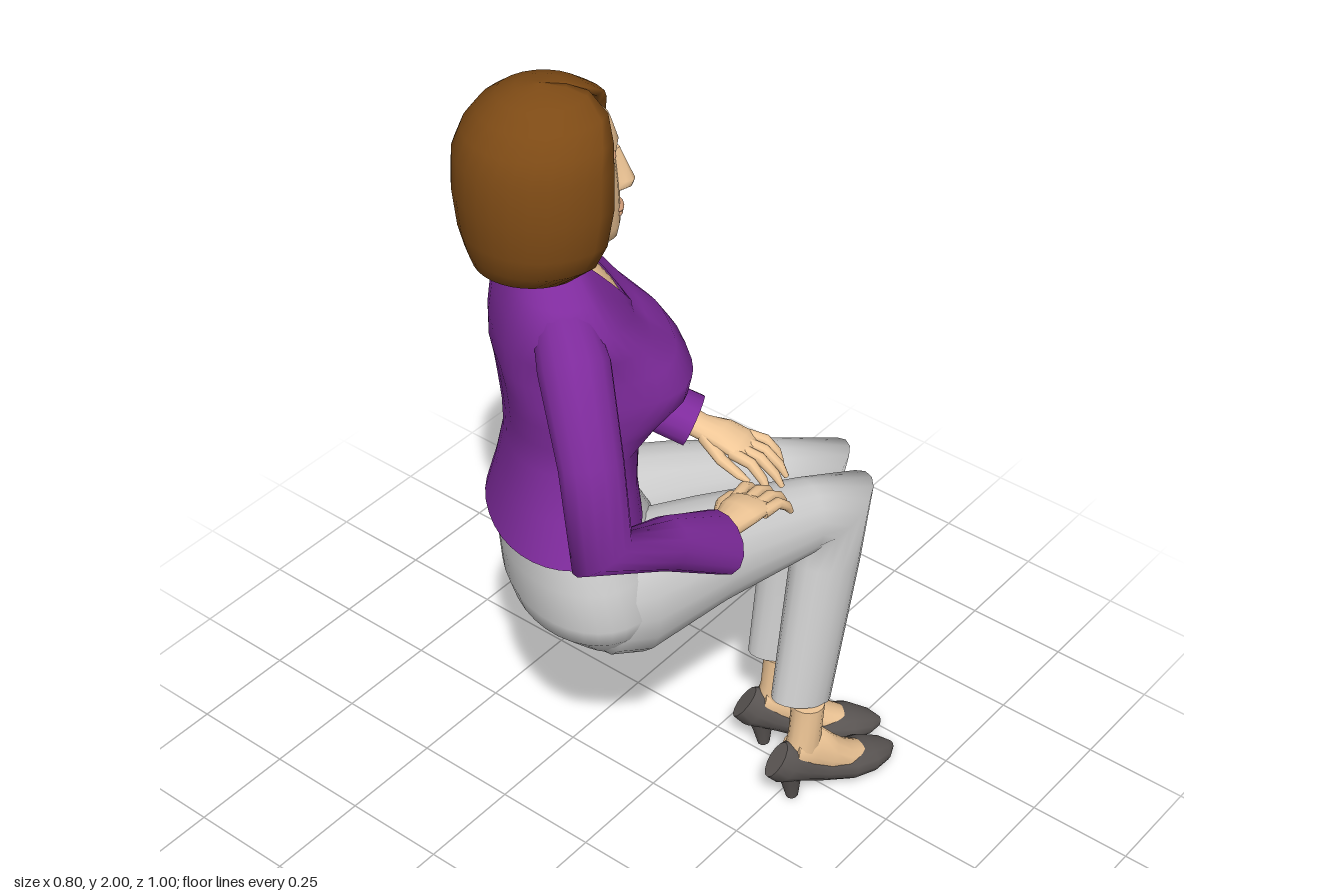
import * as THREE from 'three';

const V = (x, y, z) => new THREE.Vector3(x, y, z);
const mat = (color) => new THREE.MeshStandardMaterial({ color, side: THREE.DoubleSide });
const skin = mat(0xf0c797), purple = mat(0x7f2b9d), brown = mat(0x7d4a15);
const grey = mat(0xcccccc), dark = mat(0x5a5553), lip = mat(0xd09c78), eyeMat = mat(0x9a9aa0);
const TAU = Math.PI * 2;

// Skin a list of equal-length closed loops, with optional end caps
function loft(name, loops, material, cap = true) {
  const n = loops[0].length, pts = loops.flat(), idx = [];
  for (let i = 0; i < loops.length - 1; i++) for (let j = 0; j < n; j++) {
    const a = i * n + j, b = i * n + (j + 1) % n;
    idx.push(a, b, b + n, a, b + n, a + n);
  }
  const sides = idx.length;
  if (cap) [loops[0], loops[loops.length - 1]].forEach((loop, e) => {
    const base = pts.length, flat = flatten(loop);
    pts.push(...loop.map((p) => p.clone()));
    const ccw = THREE.ShapeUtils.area(flat) > 0;
    THREE.ShapeUtils.triangulateShape(flat, []).forEach(([a, b, c]) =>
      idx.push(...((e === 0) === ccw ? [base + a, base + c, base + b] : [base + a, base + b, base + c])));
  });
  // Wind faces outward
  let vol = 0;
  const c = V(0, 0, 0), w = V(0, 0, 0);
  pts.forEach((p) => c.addScaledVector(p, 1 / pts.length));
  for (let i = 0; i < sides; i += 3) {
    const [p, q, r] = [0, 1, 2].map((k) => pts[idx[i + k]].clone().sub(c));
    vol += p.dot(w.crossVectors(q, r));
  }
  if (vol < 0) for (let i = 0; i < idx.length; i += 3) [idx[i], idx[i + 1]] = [idx[i + 1], idx[i]];
  const g = new THREE.BufferGeometry().setFromPoints(pts);
  g.setIndex(idx);
  g.computeVertexNormals();
  const m = new THREE.Mesh(g, material);
  m.name = name;
  return m;
}

// Project a planar loop to 2D for capping
function flatten(loop) {
  const nrm = V(0, 0, 0), t = V(0, 0, 0);
  loop.forEach((p, i) => nrm.add(t.crossVectors(p, loop[(i + 1) % loop.length])));
  nrm.normalize();
  const u = loop[Math.floor(loop.length / 3)].clone().sub(loop[0]).normalize();
  const v = V(0, 0, 0).crossVectors(nrm, u);
  return loop.map((p) => new THREE.Vector2(p.dot(u), p.dot(v)));
}

// Sweep ellipses along a path; rows are [x, y, z, radius along side, other radius]
function limb(name, rows, side, material, n = 14) {
  const P = rows.map((r) => V(r[0], r[1], r[2]));
  let s = side.clone();
  const loops = rows.map((r, i) => {
    const t = V(0, 0, 0);
    if (i > 0) t.add(P[i].clone().sub(P[i - 1]).normalize());
    if (i < P.length - 1) t.add(P[i + 1].clone().sub(P[i]).normalize());
    t.normalize();
    s = s.clone().addScaledVector(t, -s.dot(t)).normalize();
    const d = V(0, 0, 0).crossVectors(t, s);
    return Array.from({ length: n }, (_, k) => P[i].clone()
      .addScaledVector(s, r[3] * Math.cos(k / n * TAU)).addScaledVector(d, r[4] * Math.sin(k / n * TAU)));
  });
  return loft(name, loops, material);
}

// Horizontal rings [y, halfWidth, back, front, squareness power, drop, push]; drop and push shape a V at the front
function body(name, rows, material, cap = true, n = 36) {
  return loft(name, rows.map(([y, a, back, front, square = 1, drop = 0, push = 0]) =>
    Array.from({ length: n }, (_, k) => {
      const f = k / n * TAU, w = Math.max(0, 1 - Math.min(f, TAU - f) / 0.8);
      const pw = (v) => Math.sign(v) * Math.abs(v) ** square;
      return V(a * pw(Math.sin(f)), y - drop * w, (back + front) / 2 + (front - back) / 2 * pw(Math.cos(f)) + push * w);
    })), material, cap);
}

function hand(name, wrist, target, t) {
  const g = new THREE.Group();
  g.name = name;
  g.position.copy(wrist);
  g.lookAt(target);
  const X = V(1, 0, 0);
  g.add(limb('palm', [[0, 0, -0.05, 0.036, 0.03], [0, 0, 0.02, 0.034, 0.025], [0, 0.01, 0.07, 0.047, 0.024],
    [0, 0.01, 0.115, 0.05, 0.019], [0, 0.004, 0.14, 0.044, 0.012]], X, skin));
  for (let i = 0; i < 4; i++) {
    const x = (i - 1.5) * 0.025, l = [0.105, 0.125, 0.12, 0.09][t > 0 ? 3 - i : i];
    g.add(limb('finger', [[x, 0.006, 0.11, 0.014, 0.014], [x * 1.2, 0.012, 0.12 + l * 0.4, 0.013, 0.013],
      [x * 1.35, -0.008, 0.12 + l * 0.75, 0.011, 0.011], [x * 1.4, -0.03, 0.12 + l * 0.95, 0.006, 0.006]], X, skin, 8));
  }
  g.add(limb('thumb', [[t * 0.025, 0, 0.04, 0.018, 0.016], [t * 0.06, -0.005, 0.1, 0.014, 0.013],
    [t * 0.068, -0.012, 0.15, 0.011, 0.01], [t * 0.066, -0.018, 0.175, 0.005, 0.005]], X, skin, 8));
  return g;
}

function foot(name, heel, toe) {
  const g = new THREE.Group();
  g.name = name;
  g.position.copy(heel);
  g.lookAt(toe);
  const X = V(1, 0, 0);
  // Rows are distance from heel, half width, bottom, top
  const along = (part, rows, m) => limb(part, rows.map(([z, w, lo, hi]) => [0, (lo + hi) / 2, z, w, (hi - lo) / 2]), X, m);
  g.add(along('shoe', [[0, 0.022, 0.1, 0.195], [0.025, 0.041, 0.075, 0.185], [0.07, 0.045, 0.06, 0.145], [0.13, 0.046, 0.03, 0.105],
    [0.2, 0.058, 0.004, 0.085], [0.26, 0.058, 0, 0.072], [0.31, 0.038, 0, 0.05], [0.338, 0.012, 0.006, 0.03]], dark));
  g.add(along('instep', [[0.04, 0.034, 0.1, 0.2], [0.09, 0.04, 0.07, 0.205], [0.14, 0.042, 0.05, 0.15],
    [0.19, 0.045, 0.03, 0.106], [0.24, 0.035, 0.03, 0.078]], skin));
  g.add(limb('shoeHeel', [[0, 0.12, 0.037, 0.036, 0.038], [0, 0.06, 0.045, 0.022, 0.025],
    [0, 0.008, 0.05, 0.014, 0.015]], X, dark, 10));
  g.add(limb('ankle', [[0, 0.13, 0.075, 0.036, 0.048], [0, 0.2, 0.08, 0.036, 0.04], [0, 0.285, 0.085, 0.038, 0.04]], X, skin));
  return g;
}

function head() {
  const g = new THREE.Group();
  g.name = 'head';
  g.add(body('face', [[1.64, 0.03, 0.03, 0.105], [1.652, 0.045, 0, 0.128], [1.68, 0.065, -0.05, 0.134], [1.73, 0.086, -0.09, 0.134],
    [1.78, 0.098, -0.12, 0.132], [1.835, 0.103, -0.13, 0.126], [1.87, 0.103, -0.13, 0.132], [1.915, 0.098, -0.12, 0.118],
    [1.955, 0.07, -0.085, 0.085], [1.975, 0.03, -0.04, 0.03]], skin, true, 24));
  g.add(body('nose', [[1.755, 0.013, 0.11, 0.142], [1.765, 0.021, 0.11, 0.16], [1.778, 0.017, 0.11, 0.164],
    [1.81, 0.012, 0.11, 0.15], [1.85, 0.009, 0.11, 0.134]], skin, true, 10));
  const blob = (name, x, y, z, sx, sy, sz, m) => {
    const b = new THREE.Mesh(new THREE.SphereGeometry(1, 12, 8), m);
    b.name = name;
    b.position.set(x, y, z);
    b.scale.set(sx, sy, sz);
    g.add(b);
  };
  blob('upperLip', 0, 1.717, 0.131, 0.026, 0.007, 0.011, lip);
  blob('lowerLip', 0, 1.705, 0.13, 0.022, 0.008, 0.01, lip);
  for (const s of [-1, 1]) {
    blob('eye', s * 0.04, 1.834, 0.112, 0.017, 0.008, 0.009, eyeMat);
    blob('brow', s * 0.042, 1.86, 0.118, 0.022, 0.003, 0.006, lip);
  }
  // Bob as a thick shell, open around the face: y, rx, rz, centre z, opening half angle
  const rows = [[1.59, 0.085, 0.09, -0.045, 1.3], [1.61, 0.122, 0.125, -0.038, 1.1], [1.65, 0.157, 0.152, -0.024, 0.86],
    [1.7, 0.172, 0.168, -0.02, 0.78], [1.78, 0.178, 0.178, -0.018, 0.74], [1.86, 0.17, 0.174, -0.018, 0.7],
    [1.91, 0.152, 0.158, -0.014, 0.6], [1.95, 0.122, 0.13, -0.012, 0.36], [1.98, 0.082, 0.09, -0.014, 0.05],
    [1.994, 0.045, 0.05, -0.016, 0], [2, 0, 0, -0.018, 0]];
  const n = 24;
  g.add(loft('hair', rows.map(([y, rx, rz, zc, open]) => Array.from({ length: n * 2 }, (_, k) => {
    const outer = k < n, t = (outer ? k : 2 * n - 1 - k) / (n - 1);
    const a = open + t * (TAU - 2 * open), q = outer ? 1 : 0.87;
    return V(rx * q * Math.sin(a), outer ? y : y - 0.008, zc + rz * q * Math.cos(a));
  })), brown, false));
  return g;
}

export function createModel() {
  const model = new THREE.Group();
  model.name = 'seatedWoman';

  // Torso, turned toward the far right
  const torso = new THREE.Group();
  torso.name = 'torso';
  torso.position.set(-0.09, 0, 0.22);
  torso.rotation.y = Math.PI - Math.asin(0.6);
  torso.add(body('blouse', [[0.955, 0.236, -0.145, 0.18, 0.95], [1.05, 0.195, -0.12, 0.17, 0.9], [1.15, 0.168, -0.1, 0.175, 0.85],
    [1.22, 0.178, -0.1, 0.225, 0.77], [1.28, 0.19, -0.105, 0.275, 0.68], [1.325, 0.193, -0.11, 0.284, 0.66],
    [1.38, 0.192, -0.12, 0.25, 0.72], [1.44, 0.2, -0.12, 0.2, 0.8, 0.03], [1.51, 0.225, -0.11, 0.14, 0.9, 0.08, 0.035],
    [1.56, 0.165, -0.09, 0.1, 0.95, 0.12, 0.07], [1.605, 0.08, -0.07, 0.07, 1, 0.155, 0.1]], purple, false));
  torso.add(body('chest', [[1.36, 0.13, -0.05, 0.18], [1.44, 0.12, -0.06, 0.165], [1.5, 0.095, -0.06, 0.135],
    [1.56, 0.066, -0.055, 0.095], [1.6, 0.056, -0.05, 0.07], [1.7, 0.055, -0.04, 0.075]], skin));
  torso.add(body('hips', [[0.622, 0.1, 0.05, 0.15], [0.66, 0.175, -0.02, 0.2], [0.74, 0.24, -0.1, 0.23],
    [0.79, 0.258, -0.115, 0.24], [0.88, 0.24, -0.122, 0.22], [0.985, 0.2, -0.118, 0.165]], grey));
  model.add(torso);

  const h = head();
  h.position.set(-0.066, 0, 0.232);
  h.rotation.y = Math.PI - 0.8;
  model.add(h);

  // Sleeves
  const forward = V(0.6, 0, -0.8);
  model.add(limb('rightSleeve', [[-0.01, 1.53, 0.28, 0.06, 0.045], [0.086, 1.468, 0.352, 0.075, 0.08],
    [0.155, 1.28, 0.387, 0.068, 0.06], [0.222, 1.115, 0.436, 0.072, 0.042], [0.235, 1.03, 0.25, 0.058, 0.058],
    [0.245, 0.928, 0.08, 0.056, 0.076]], forward, purple));
  model.add(limb('leftSleeve', [[-0.17, 1.53, 0.16, 0.06, 0.045], [-0.266, 1.468, 0.088, 0.075, 0.08],
    [-0.305, 1.28, 0.055, 0.068, 0.06], [-0.345, 1.12, 0.018, 0.074, 0.048], [-0.17, 1.06, -0.075, 0.06, 0.058],
    [-0.01, 0.99, -0.155, 0.06, 0.074]], forward, purple));
  model.add(hand('rightHand', V(0.238, 0.95, 0.07), V(0.22, 0.915, -0.19), 1));
  model.add(hand('leftHand', V(-0.01, 0.985, -0.155), V(0.22, 0.92, -0.21), -1));

  // Trouser legs, rounded where they run into the hips
  const side = V(0.87, 0, 0.5);
  model.add(limb('leftTrouserLeg', [[-0.195, 0.79, 0.2, 0.07, 0.09], [-0.18, 0.79, 0.15, 0.118, 0.145],
    [-0.155, 0.79, 0.08, 0.138, 0.164], [-0.03, 0.8, -0.11, 0.108, 0.128],
    [0.09, 0.778, -0.325, 0.08, 0.092], [0.137, 0.765, -0.395, 0.072, 0.115], [0.122, 0.63, -0.375, 0.066, 0.08],
    [0.124, 0.28, -0.315, 0.052, 0.073]], side, grey, 18));
  model.add(limb('rightTrouserLeg', [[0.03, 0.785, 0.3, 0.07, 0.09], [0.045, 0.785, 0.25, 0.118, 0.145],
    [0.07, 0.785, 0.18, 0.14, 0.165], [0.135, 0.785, -0.02, 0.112, 0.128],
    [0.22, 0.77, -0.26, 0.08, 0.092], [0.246, 0.752, -0.338, 0.075, 0.115], [0.25, 0.63, -0.31, 0.068, 0.085],
    [0.264, 0.28, -0.218, 0.055, 0.075]], side, grey, 18));

  model.add(foot('leftFoot', V(0.09, 0, -0.235), V(0.305, 0, -0.5)));
  model.add(foot('rightFoot', V(0.267, 0, -0.125), V(0.375, 0, -0.45)));
  return model;
}
